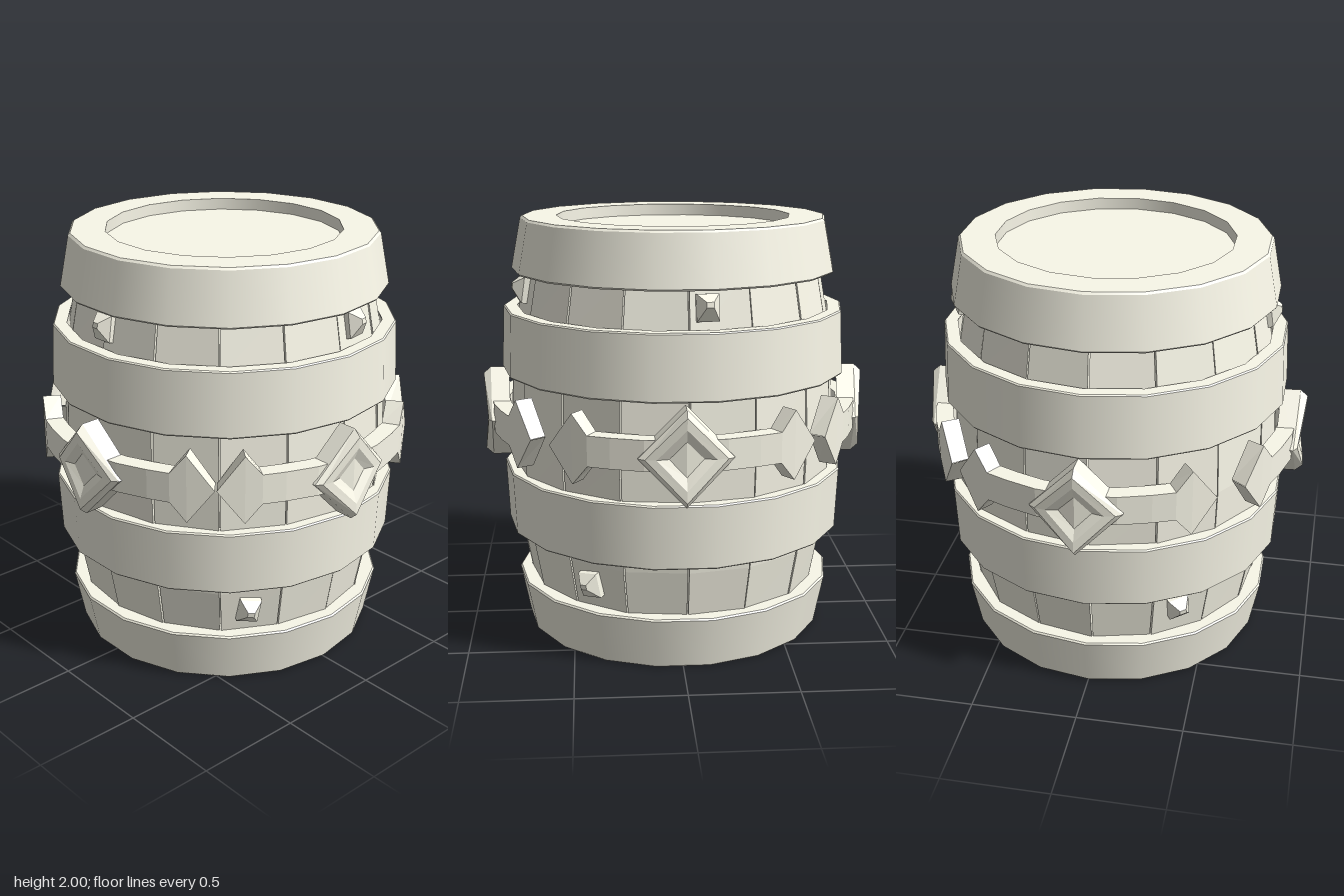
import * as THREE from 'three';

const CREAM = 0xfaf8e9;
const smooth = new THREE.MeshStandardMaterial({ color: CREAM });
const faceted = new THREE.MeshStandardMaterial({ color: CREAM, flatShading: true });
const rad = THREE.MathUtils.degToRad;

function add(parent, name, geometry, material = faceted) {
  const mesh = new THREE.Mesh(geometry, material);
  mesh.name = name;
  parent.add(mesh);
  return mesh;
}

// 18-sided turned part, smooth around; inner profile points are doubled to keep rims sharp
function turned(profile) {
  const pts = profile.flatMap(([r, y], i) => {
    const copies = i === 0 || i === profile.length - 1 ? 1 : 2;
    return Array.from({ length: copies }, () => new THREE.Vector2(r, y));
  });
  return new THREE.LatheGeometry(pts, 18, rad(10));
}

// Turns a profile upside down; sum is the height of an upper point plus its lower twin
const flip = (profile, sum) => profile.map(([r, y]) => [r, sum - y]).reverse();

// Skin over closed rings of points, counter-clockwise about the direction of travel
function loft(rings) {
  const n = rings[0].length;
  const index = [];
  for (let i = 0; i < rings.length - 1; i++) {
    for (let j = 0; j < n; j++) {
      const a = i * n + j, b = i * n + (j + 1) % n;
      index.push(a, b, b + n, a, b + n, a + n);
    }
  }
  const geo = new THREE.BufferGeometry();
  geo.setAttribute('position', new THREE.Float32BufferAttribute(rings.flat(2), 3));
  geo.setIndex(index);
  const out = geo.toNonIndexed();
  out.computeVertexNormals();
  return out;
}

// Strip wrapped round the barrel from columns of [degrees, half height, outer radius]
function strip(columns, thickness) {
  return loft(columns.map(([deg, h, r]) => {
    const s = Math.sin(rad(deg)), c = Math.cos(rad(deg)), q = r - thickness;
    return [[s * q, -h, c * q], [s * q, h, c * q], [s * r, h, c * r], [s * r, -h, c * r]];
  }));
}

// Barrel bulge
const bodyRadius = (y) => 0.785 - 0.078 * ((y - 1) / 0.75) ** 2;

// One bent plank; its edges are slightly uneven so the joints show
function stave(k) {
  const geo = new THREE.BoxGeometry(1, 1.6, 0.06, 1, 6, 1);
  const p = geo.attributes.position;
  const tilt = 0.012 * Math.sin(k * 2.4);
  for (let i = 0; i < p.count; i++) {
    const u = p.getX(i), y = p.getY(i) + 1;
    const r = bodyRadius(y) + p.getZ(i) - 0.03 + u * tilt;
    const a = rad(1.6 + (k + 0.5) * 22.5 + u * 22);
    p.setXYZ(i, r * Math.sin(a), y, r * Math.cos(a));
  }
  geo.computeVertexNormals();
  return geo;
}

// Raised diamond with a sunken middle, bent along its upright centre line:
// rings of [scale, depth at top and bottom corners, depth at side corners]
function diamond() {
  const steps = [[1, 0.8, 0.78], [1, 0.89, 0.868], [0.86, 0.925, 0.888],
    [0.62, 0.922, 0.896], [0.36, 0.898, 0.884], [0, 0.898, 0.898]];
  return loft(steps.map(([s, z, side]) => {
    const w = 0.21 * s, h = 0.22 * s;
    return [[w, 0, side], [0, h, z], [-w, 0, side], [0, -h, z]];
  }));
}

// Four-sided nail head with its point pushed upwards
function nailHead() {
  const ring = (w, h, y, z) => [[w, y - h, z], [w, y + h, z], [-w, y + h, z], [-w, y - h, z]];
  return loft([ring(0.05, 0.06, 0, -0.03), ring(0.05, 0.06, 0, 0.005),
    ring(0.016, 0.012, 0.012, 0.052), ring(0, 0, 0.012, 0.052)]);
}

export function createModel() {
  const barrel = new THREE.Group();
  barrel.name = 'barrel';

  // Planks and the inner wall behind their joints
  const staves = new THREE.Group();
  staves.name = 'staves';
  barrel.add(staves);
  for (let k = 0; k < 16; k++) add(staves, 'stave', stave(k));
  const wall = [0.2, 0.6, 1, 1.4, 1.8].map((y) => [bodyRadius(y) - 0.045, y]);
  add(barrel, 'innerWall', turned(wall), smooth);

  // Wide end hoops with folded-in rims
  const endHoop = [[0.66, 1.8], [0.66, 1.747], [0.765, 1.747], [0.772, 1.755],
    [0.726, 1.99], [0.716, 2], [0.555, 2], [0.555, 1.94]];
  add(barrel, 'topHoop', turned(endHoop), smooth);
  add(barrel, 'bottomHoop', turned(flip(endHoop, 2)), smooth);

  // Recessed ends
  const lid = [[0.6, 1.945], [0, 1.945]];
  add(barrel, 'lid', turned(lid), smooth);
  add(barrel, 'base', turned(flip(lid, 2)), smooth);

  // Two hoops above and below the clasps
  const midHoop = [[0.75, 1.575], [0.755, 1.273], [0.822, 1.273], [0.828, 1.28],
    [0.815, 1.57], [0.809, 1.576], [0.75, 1.576]];
  add(barrel, 'upperHoop', turned(midHoop), smooth);
  add(barrel, 'lowerHoop', turned(flip(midHoop, 2.085)), smooth);

  // Four clasps: a band with flared, pointed ends and a diamond in the middle
  const diamondGeo = diamond();
  const half = [[42, 0.001, 0.885], [34, 0.16, 0.88], [29, 0.07, 0.88], [22, 0.07, 0.876], [12, 0.07, 0.88]];
  const bandGeo = strip([
    ...half.map(([deg, h, r]) => [-deg, h, r]),
    [0, 0.07, 0.885],
    ...half.slice().reverse(),
  ], 0.085);
  for (const deg of [3.4, 88, 180, 269]) {
    const clasp = new THREE.Group();
    clasp.name = 'clasp';
    clasp.position.y = 1.045;
    clasp.rotation.y = rad(deg);
    barrel.add(clasp);
    add(clasp, 'diamond', diamondGeo);
    add(clasp, 'band', bandGeo).position.y = 0.01;
  }

  // Nail heads: [degrees round the barrel, height, roll]
  const nails = [[1.8, 1.67, 0], [100.5, 1.67, 0], [188, 1.67, 0],
    [57, 0.37, -0.15], [145, 0.37, 0.12], [-56, 0.41, 0.15]];
  const nailGeo = nailHead();
  for (const [deg, y, roll] of nails) {
    const r = bodyRadius(y) + 0.005, a = rad(deg);
    const nail = add(barrel, 'nailHead', nailGeo);
    nail.position.set(r * Math.sin(a), y, r * Math.cos(a));
    nail.rotation.set(y > 1 ? -0.15 : 0.15, a, roll, 'YXZ');
  }
  return barrel;
}
